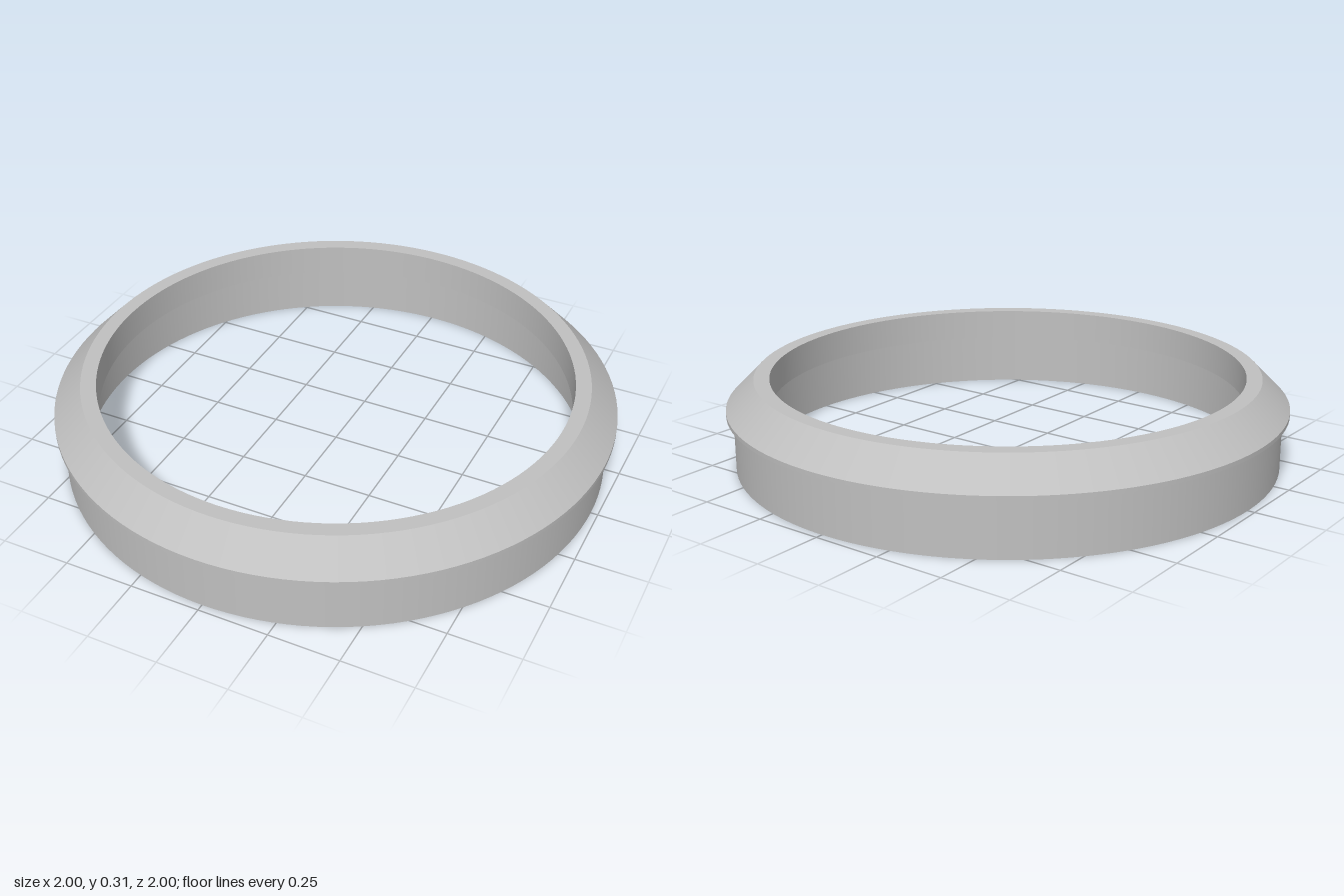
import * as THREE from 'three';

export function createModel() {
  const model = new THREE.Group();
  model.name = 'collarRing';
  const grey = new THREE.MeshStandardMaterial({ color: 0xc0c0c0 });
  grey.name = 'plain grey';

  // Closed cross-section (radius, height), each entry starting a face of the ring
  const profile = [
    ['bottomRim', 0.905, 0],
    ['outerSkirt', 0.975, 0],
    ['lipUnderside', 0.975, 0.2],
    ['lipEdge', 1, 0.2],
    ['bevel', 1, 0.215],
    ['topRim', 0.9, 0.315],
    ['upperBore', 0.845, 0.315],
    ['innerLedge', 0.845, 0.203],
    ['lowerBore', 0.905, 0.203],
  ];

  // One lathe per face: smooth around the ring, sharp between faces
  profile.forEach(([name, r, y], i) => {
    const [, r2, y2] = profile[(i + 1) % profile.length];
    const band = [new THREE.Vector2(r, y), new THREE.Vector2(r2, y2)];
    const mesh = new THREE.Mesh(new THREE.LatheGeometry(band, 128), grey);
    mesh.name = name;
    model.add(mesh);
  });

  return model;
}
